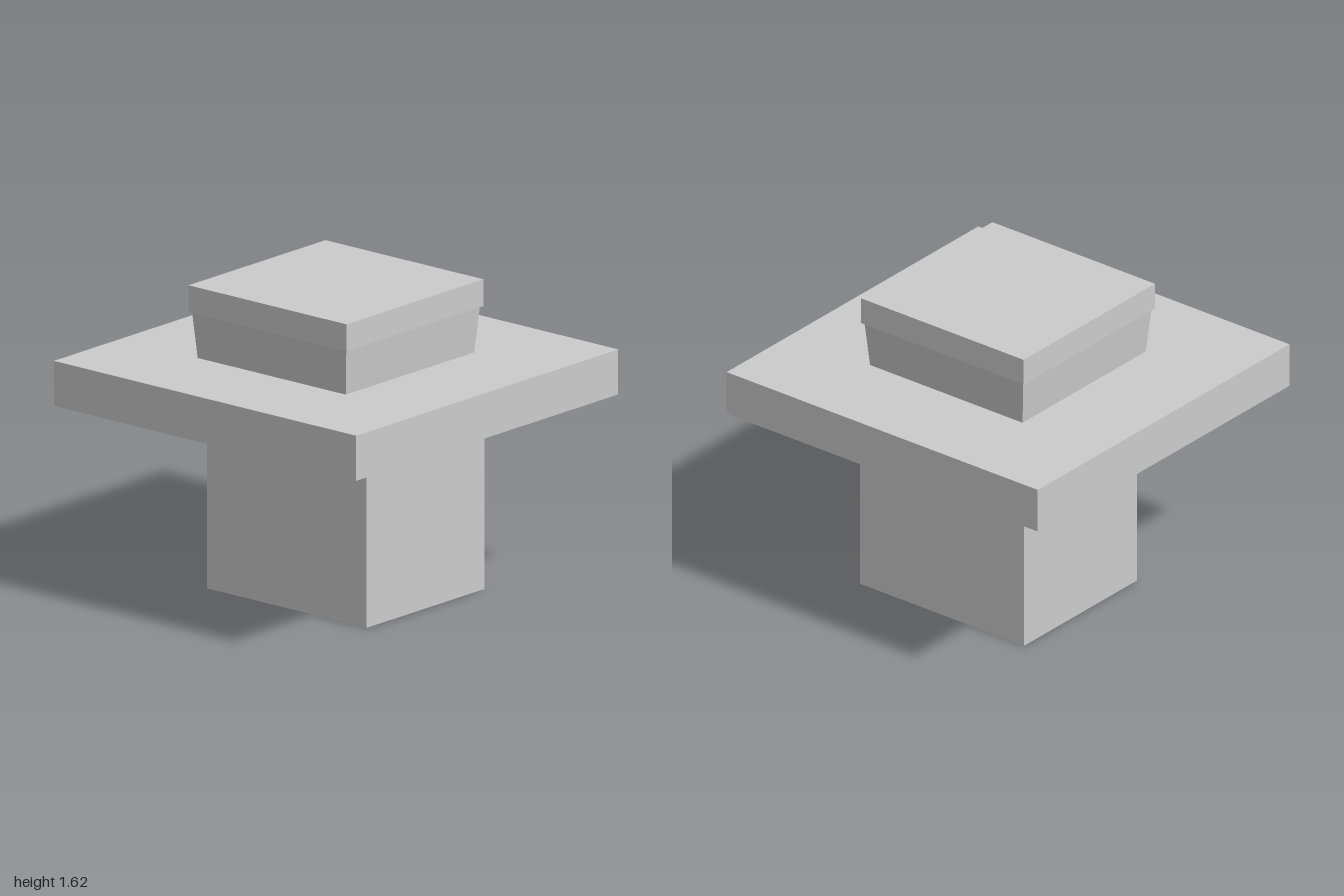
import * as THREE from 'three';

export function createModel() {
  const model = new THREE.Group();
  const material = new THREE.MeshStandardMaterial({ color: 0xcccccc, flatShading: true });

  const add = (name, geometry, bottom, height, z = 0) => {
    const mesh = new THREE.Mesh(geometry, material);
    mesh.name = name;
    mesh.position.set(0, bottom + height / 2, z);
    model.add(mesh);
  };
  const block = (name, width, depth, bottom, top, z) =>
    add(name, new THREE.BoxGeometry(width, top - bottom, depth), bottom, top - bottom, z);

  // Stem, set slightly towards the back
  block('stem', 1.055, 0.9, 0, 1, -0.075);

  // Wide square plate
  block('plate', 2, 2, 1, 1.235);

  // Square neck, widening upwards
  const neck = new THREE.CylinderGeometry(0.51 * Math.SQRT2, 0.49 * Math.SQRT2, 0.24, 4);
  neck.rotateY(Math.PI / 4);
  add('neck', neck, 1.235, 0.24);

  // Overhanging cap
  block('cap', 1.045, 1.045, 1.475, 1.615);

  return model;
}
